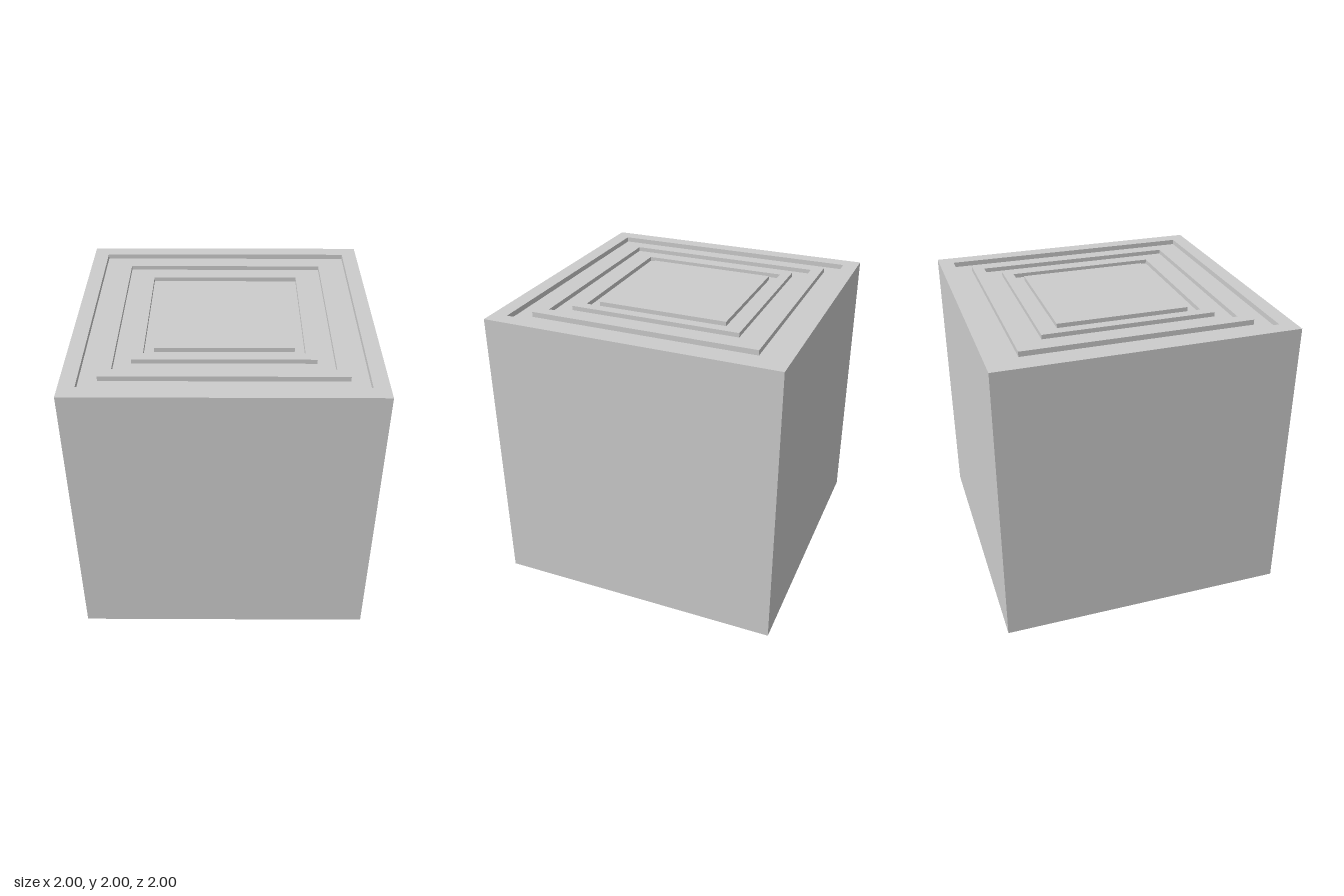
import * as THREE from 'three';

const TOP = 2;

// Four-sided lathe: profile points are [half width, height], listed from bottom centre outwards and up.
function squareLathe(name, profile, material) {
  const points = profile.map(([half, y]) => new THREE.Vector2(half * Math.SQRT2, y));
  const geometry = new THREE.LatheGeometry(points, 4, Math.PI / 4).toNonIndexed();
  geometry.computeVertexNormals();
  const mesh = new THREE.Mesh(geometry, material);
  mesh.name = name;
  return mesh;
}

export function createModel() {
  const group = new THREE.Group();
  group.name = 'groovedBlock';
  const grey = new THREE.MeshStandardMaterial({ color: 0xcccccc });
  grey.name = 'grey';

  // Concentric square grooves sunk into the top: outer half width, inner half width, depth
  const grooves = [
    [0.895, 0.778, 0.035],
    [0.698, 0.587, 0.03],
    [0.516, 0.452, 0.03],
  ];

  // Solid block: underside, four walls and the flat rim
  group.add(squareLathe('block', [[0, 0], [1, 0], [1, TOP], [grooves[0][0], TOP]], grey));

  grooves.forEach(([outer, inner, depth], i) => {
    // Groove: wall down, floor, wall up
    group.add(squareLathe(`groove${i + 1}`,
      [[outer, TOP], [outer, TOP - depth], [inner, TOP - depth], [inner, TOP]], grey));

    // Flat land inside the groove, up to the next groove or the centre
    const next = grooves[i + 1];
    group.add(squareLathe(next ? `ridge${i + 1}` : 'centrePanel',
      [[inner, TOP], [next ? next[0] : 0, TOP]], grey));
  });

  return group;
}
